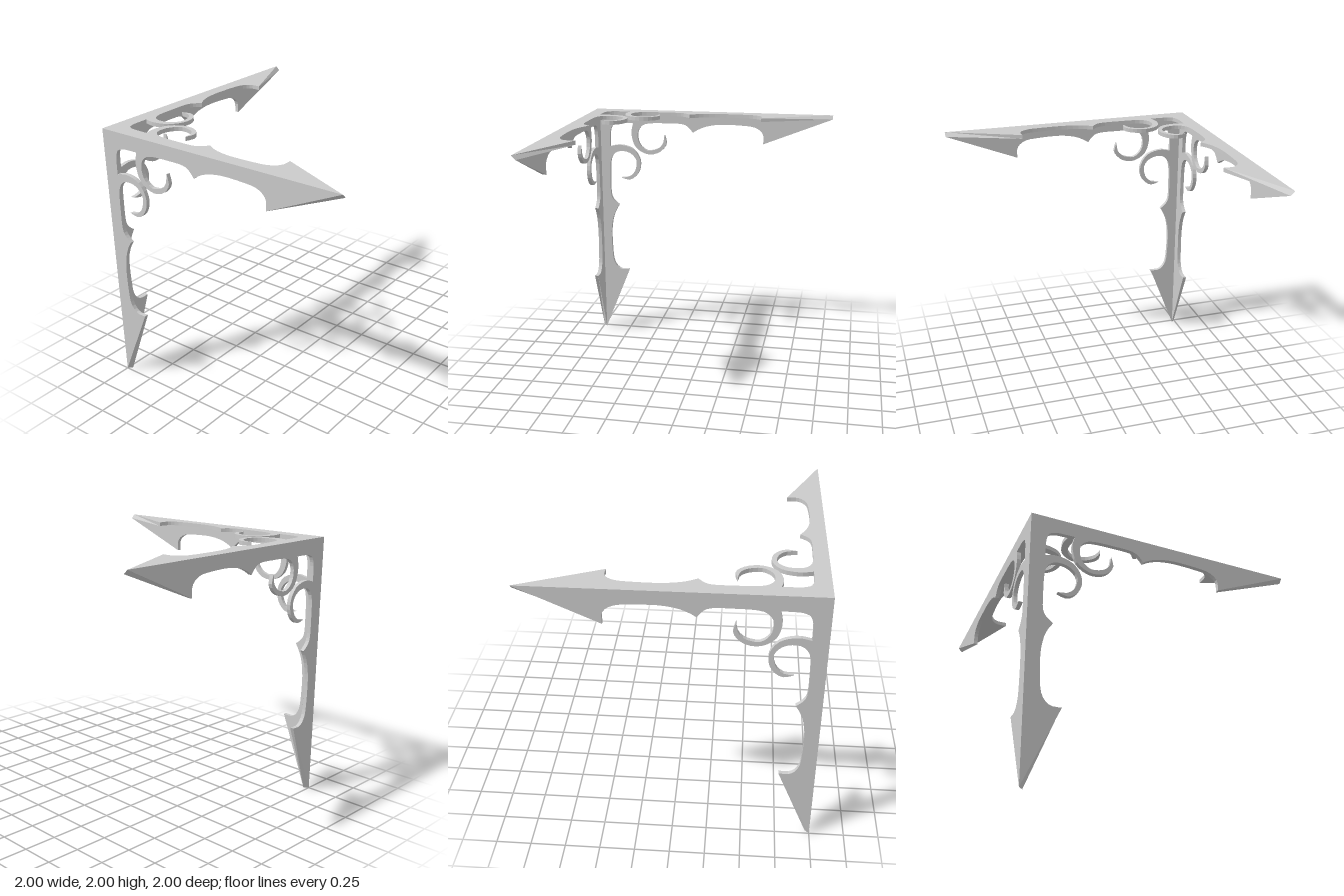
import * as THREE from 'three';

const THICK = 0.03;

// Half of the plate outline, from the inner corner of the bracket out to the barb.
// Each list is one smooth run; sharp corners lie between runs.
const runs = [
  // rounded window beside the corner
  [[0.135, 0.135], [0.16, 0.122], [0.205, 0.112], [0.318, 0.11]],
  // scroll, outer edge
  [[0.318, 0.11], [0.302, 0.18], [0.309, 0.25], [0.335, 0.313], [0.39, 0.358], [0.457, 0.377],
    [0.527, 0.364], [0.58, 0.326], [0.607, 0.273], [0.59, 0.205]],
  // scroll, inner edge, running into the arm
  [[0.59, 0.205], [0.579, 0.272], [0.543, 0.316], [0.495, 0.337], [0.436, 0.342], [0.388, 0.31],
    [0.361, 0.262], [0.356, 0.203], [0.372, 0.155], [0.42, 0.118], [0.5, 0.106], [0.6, 0.104],
    [0.714, 0.104], [0.773, 0.115], [0.81, 0.144], [0.837, 0.178]],
  // arm between cusp and arrowhead
  [[0.837, 0.178], [0.875, 0.153], [0.944, 0.123], [1.035, 0.105], [1.13, 0.1], [1.275, 0.105],
    [1.355, 0.115], [1.41, 0.145], [1.435, 0.188], [1.433, 0.255]],
];

function plateGeometry() {
  const half = [];
  for (const run of runs) {
    const curve = new THREE.SplineCurve(run.map(([a, b]) => new THREE.Vector2(a, b)));
    const pts = curve.getPoints((run.length - 1) * 2);
    half.push(...(half.length ? pts.slice(1) : pts));
  }
  half.push(new THREE.Vector2(2, 0)); // arrow tip
  // mirror across the diagonal for the second arm
  const mirrored = half.slice(1).reverse().map((p) => new THREE.Vector2(p.y, p.x));
  const shape = new THREE.Shape([new THREE.Vector2(0, 0), ...mirrored, ...half]);
  const geo = new THREE.ExtrudeGeometry(shape, { depth: THICK, bevelEnabled: false });

  // mitre the two straight edges so neighbouring plates meet cleanly
  const pos = geo.attributes.position;
  for (let i = 0; i < pos.count; i++) {
    if (pos.getZ(i) < THICK / 2) continue;
    pos.setX(i, Math.max(pos.getX(i), THICK));
    pos.setY(i, Math.max(pos.getY(i), THICK));
  }
  geo.computeVertexNormals();
  return geo;
}

export function createModel() {
  const model = new THREE.Group();
  model.name = 'cornerOrnament';
  const material = new THREE.MeshStandardMaterial({ color: 0xcccccc, flatShading: true });
  const base = plateGeometry();

  // directions running away from the shared corner
  const X = new THREE.Vector3(1, 0, 0);
  const Y = new THREE.Vector3(0, -1, 0);
  const Z = new THREE.Vector3(0, 0, -1);
  const plates = { frontPlate: [X, Y, Z], sidePlate: [Y, Z, X], topPlate: [Z, X, Y] };

  for (const [name, axes] of Object.entries(plates)) {
    const geo = base.clone().applyMatrix4(new THREE.Matrix4().makeBasis(...axes));
    const mesh = new THREE.Mesh(geo, material);
    mesh.name = name;
    mesh.position.set(-1, 2, 1);
    model.add(mesh);
  }
  return model;
}
